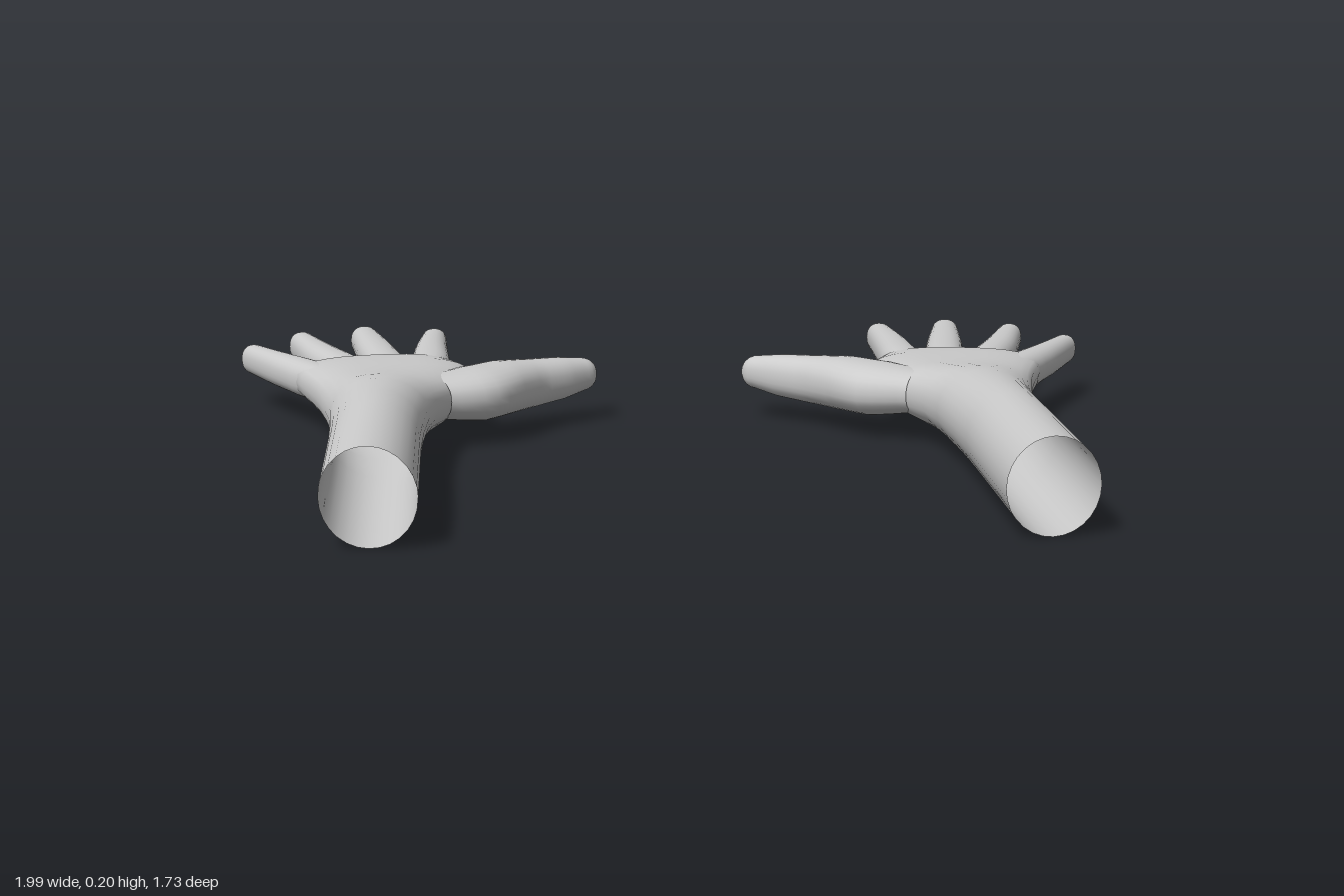
import * as THREE from 'three';

const SIDES = 28;
const material = new THREE.MeshStandardMaterial({ color: 0xcccccc, side: THREE.DoubleSide });

// Skin a row of cross-sections. Each runs from a [x, z] to b [x, z] and from y0 to y1;
// e is its squareness and bow bends its middle towards the fingertips.
// side = -1 mirrors the result in x.
function loft(name, sections, side, capEnd = false) {
  const pos = [], index = [];
  sections.forEach(({ a, b, y0, y1, e = 2, bow = 0 }) => {
    for (let j = 0; j < SIDES; j++) {
      const t = side * j * 2 * Math.PI / SIDES;
      const c = Math.cos(t), s = Math.sin(t);
      const u = side * Math.sign(c * side) * Math.abs(c) ** (2 / e);
      const v = Math.sign(s) * Math.abs(s) ** (2 / e);
      const k = (u + 1) / 2;
      pos.push(
        side * THREE.MathUtils.lerp(a[0], b[0], k),
        (y0 + y1) / 2 + v * (y1 - y0) / 2,
        THREE.MathUtils.lerp(a[1], b[1], k) - bow * (1 - u * u));
    }
  });
  for (let i = 0; i < sections.length - 1; i++) {
    for (let j = 0; j < SIDES; j++) {
      const p = i * SIDES + j, q = i * SIDES + (j + 1) % SIDES;
      index.push(p, p + SIDES, q, q, p + SIDES, q + SIDES);
    }
  }
  if (capEnd) {
    const first = (sections.length - 1) * SIDES;
    for (let j = 1; j < SIDES - 1; j++) index.push(first, first + j + 1, first + j);
  }
  const geo = new THREE.BufferGeometry();
  geo.setAttribute('position', new THREE.Float32BufferAttribute(pos, 3));
  geo.setIndex(index);
  geo.computeVertexNormals();
  const mesh = new THREE.Mesh(geo, material);
  mesh.name = name;
  return mesh;
}

// A finger follows points [x, z, half width, y0, y1] and ends in a rounded tip.
function finger(name, points, side) {
  const curve = new THREE.CatmullRomCurve3(points.map(p => new THREE.Vector3(p[0], 0, p[1])));
  const spans = points.length - 1, steps = spans * 4, sections = [];
  const ring = (c, d, w, mid, h) => sections.push({
    a: [c.x + d.z * w, c.z - d.x * w],
    b: [c.x - d.z * w, c.z + d.x * w],
    y0: mid - h, y1: mid + h, e: 2.3,
  });
  let c, d, w, mid, h;
  for (let i = 0; i <= steps; i++) {
    const t = i / steps;
    const n = Math.min(Math.floor(t * spans), spans - 1), f = t * spans - n;
    const at = k => THREE.MathUtils.lerp(points[n][k], points[n + 1][k], f);
    c = curve.getPoint(t);
    d = curve.getTangent(t);
    w = at(2);
    mid = (at(3) + at(4)) / 2;
    h = (at(4) - at(3)) / 2;
    ring(c, d, w, mid, h);
  }
  // rounded fingertip
  for (let i = 1; i <= 6; i++) {
    const t = i / 6 * Math.PI / 2, r = Math.max(Math.cos(t), 0.001);
    ring(c.clone().addScaledVector(d, Math.sin(t) * w * 1.15), d, w * r, mid, h * r);
  }
  return loft(name, sections, side);
}

// forearm with a slanted open end, widening into the flat palm
const ARM = [
  { a: [0.56, 0.865], b: [0.75, 0.84], y0: 0, y1: 0.198 },
  { a: [0.56, 0.4], b: [0.75, 0.4], y0: 0.003, y1: 0.197 },
  { a: [0.556, 0.25], b: [0.753, 0.25], y0: 0.006, y1: 0.194 },
  { a: [0.546, 0.1], b: [0.76, 0.1], y0: 0.013, y1: 0.189, e: 2.1 },
  { a: [0.53, 0.01], b: [0.773, 0.01], y0: 0.022, y1: 0.182, e: 2.2 },
  { a: [0.495, -0.06], b: [0.788, -0.07], y0: 0.034, y1: 0.174, e: 2.4 },
  { a: [0.47, -0.13], b: [0.8, -0.13], y0: 0.042, y1: 0.167, e: 2.7 },
  { a: [0.455, -0.22], b: [0.818, -0.2], y0: 0.047, y1: 0.163, e: 2.9 },
  { a: [0.455, -0.31], b: [0.84, -0.27], y0: 0.053, y1: 0.16, e: 3, bow: 0.01 },
  { a: [0.485, -0.39], b: [0.857, -0.33], y0: 0.058, y1: 0.155, e: 3, bow: 0.02 },
  { a: [0.505, -0.42], b: [0.845, -0.355], y0: 0.066, y1: 0.148, e: 2.8, bow: 0.03 },
];

const FINGERS = {
  indexFinger: [
    [0.55, -0.34, 0.044, 0.066, 0.15], [0.549, -0.46, 0.047, 0.064, 0.15],
    [0.549, -0.63, 0.04, 0.068, 0.148], [0.544, -0.785, 0.031, 0.075, 0.145]],
  middleFinger: [
    [0.635, -0.34, 0.044, 0.066, 0.15], [0.65, -0.45, 0.048, 0.064, 0.15],
    [0.683, -0.65, 0.043, 0.068, 0.148], [0.713, -0.83, 0.033, 0.075, 0.145]],
  ringFinger: [
    [0.72, -0.32, 0.042, 0.066, 0.15], [0.749, -0.42, 0.046, 0.064, 0.15],
    [0.806, -0.58, 0.04, 0.068, 0.148], [0.86, -0.757, 0.03, 0.075, 0.145]],
  littleFinger: [
    [0.785, -0.27, 0.042, 0.066, 0.15], [0.828, -0.36, 0.044, 0.064, 0.148],
    [0.89, -0.465, 0.036, 0.068, 0.146], [0.965, -0.605, 0.028, 0.074, 0.142]],
  thumb: [
    [0.54, -0.1, 0.075, 0.06, 0.155], [0.455, -0.155, 0.094, 0.045, 0.163],
    [0.39, -0.23, 0.078, 0.044, 0.163], [0.32, -0.293, 0.053, 0.047, 0.155],
    [0.255, -0.34, 0.045, 0.054, 0.15], [0.205, -0.375, 0.034, 0.066, 0.142]],
};

function createHand(name, side) {
  const hand = new THREE.Group();
  hand.name = name;
  hand.add(loft('forearmAndPalm', ARM, side, true));
  for (const [part, points] of Object.entries(FINGERS)) hand.add(finger(part, points, side));
  return hand;
}

export function createModel() {
  const model = new THREE.Group();
  model.name = 'pairOfHands';
  model.add(createHand('leftHand', 1), createHand('rightHand', -1));
  return model;
}
